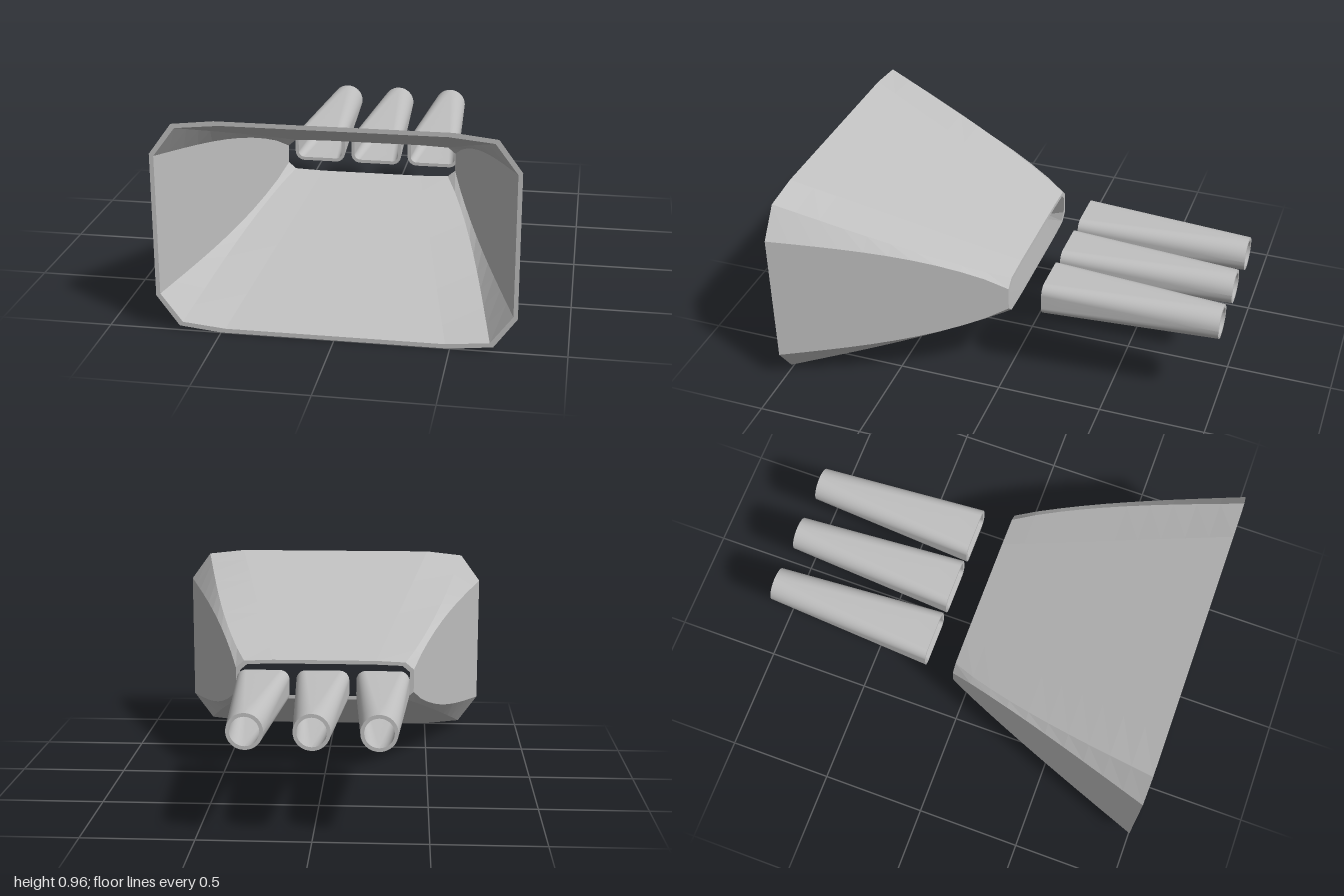
import * as THREE from 'three';

const CENTRE_Y = 0.4825;
const lerp = THREE.MathUtils.lerp;

// Skin a list of closed rings (counter-clockwise seen from +z).
function loft(rings, smooth) {
  const n = rings[0].length, index = [];
  for (let s = 0; s < rings.length - 1; s++) {
    for (let i = 0; i < n; i++) {
      const j = (i + 1) % n;
      const a = s * n + i, b = s * n + j, c = (s + 1) * n + j, d = (s + 1) * n + i;
      index.push(a, b, c, a, c, d);
    }
  }
  let geo = new THREE.BufferGeometry();
  geo.setAttribute('position', new THREE.Float32BufferAttribute(rings.flat(2), 3));
  geo.setIndex(index);
  if (!smooth) geo = geo.toNonIndexed();
  geo.computeVertexNormals();
  return geo;
}

// Walled duct: outer skin, inner skin and the two end rims.
function duct(name, outer, inner, material, smooth) {
  const group = new THREE.Group();
  group.name = name;
  const add = (part, rings, soft) => {
    const mesh = new THREE.Mesh(loft(rings, soft), material);
    mesh.name = part;
    group.add(mesh);
  };
  add(name + 'Outside', outer, smooth);
  add(name + 'Inside', [...inner].reverse(), smooth);
  add(name + 'FrontRim', [outer.at(-1), inner.at(-1)], false);
  add(name + 'BackRim', [inner[0], outer[0]], false);
  return group;
}

// Mirror one quadrant, given from the top edge round to the side, into a ring.
function mirrorRing(quarter, z) {
  const back = [...quarter].reverse();
  const place = (pts, sx, sy) => pts.map(([x, y]) => [x * sx, CENTRE_Y + y * sy, z]);
  return [...place(back, 1, 1), ...place(quarter, -1, 1),
    ...place(back, -1, -1), ...place(quarter, 1, -1)];
}

// Horn sections: t = 0 at the narrow back, 1 at the wide mouth.
function hornRings(backPts, frontPts) {
  const steps = 10, rings = [];
  for (let s = 0; s <= steps; s++) {
    const t = s / steps, bulge = Math.sin(Math.PI * Math.pow(t, 0.75));
    const q = backPts.map(([x, y], k) => [
      lerp(x, frontPts[k][0], t) + (k === 1 ? 0.03 * bulge : 0),
      lerp(y, frontPts[k][1], t) + [0, 0.006, 0.055][k] * bulge,
    ]);
    rings.push(mirrorRing(q, lerp(-0.03, 1, t)));
  }
  return rings;
}

// Pipe sections: rounded rectangle at the front blending to a circle at the back.
function pipeRings(wall) {
  const rings = [], steps = 8, arc = 8;
  for (let s = 0; s <= steps; s++) {
    const t = s / steps;
    const w = lerp(0.08, 0.125, t) - wall, h = 0.08 - wall;
    const r = lerp(0.08, 0.045, t) - wall;
    const q = [];
    for (let i = 0; i <= arc; i++) {
      const a = (1 - i / arc) * Math.PI / 2;
      q.push([w - r + r * Math.cos(a), h - r + r * Math.sin(a)]);
    }
    rings.push(mirrorRing(q, lerp(-1, -0.18, t)));
  }
  return rings;
}

export function createModel() {
  const model = new THREE.Group();
  model.name = 'hornWithPipes';
  const grey = new THREE.MeshStandardMaterial({ color: 0xc0c0c0 });
  grey.name = 'light grey';

  // Flared horn, open at both ends
  const outer = hornRings(
    [[0.25, 0.096], [0.39, 0.09], [0.43, 0.055]],
    [[0.5, 0.4825], [0.685, 0.462], [0.785, 0.325]]);
  const inner = hornRings(
    [[0.24, 0.078], [0.375, 0.073], [0.41, 0.043]],
    [[0.48, 0.463], [0.67, 0.444], [0.766, 0.316]]);
  model.add(duct('horn', outer, inner, grey, false));

  // Three separate pipes behind the horn
  for (const [name, x] of [['rightPipe', -0.283], ['middlePipe', 0], ['leftPipe', 0.283]]) {
    const pipe = duct(name, pipeRings(0), pipeRings(0.016), grey, true);
    pipe.position.x = x;
    model.add(pipe);
  }
  return model;
}
